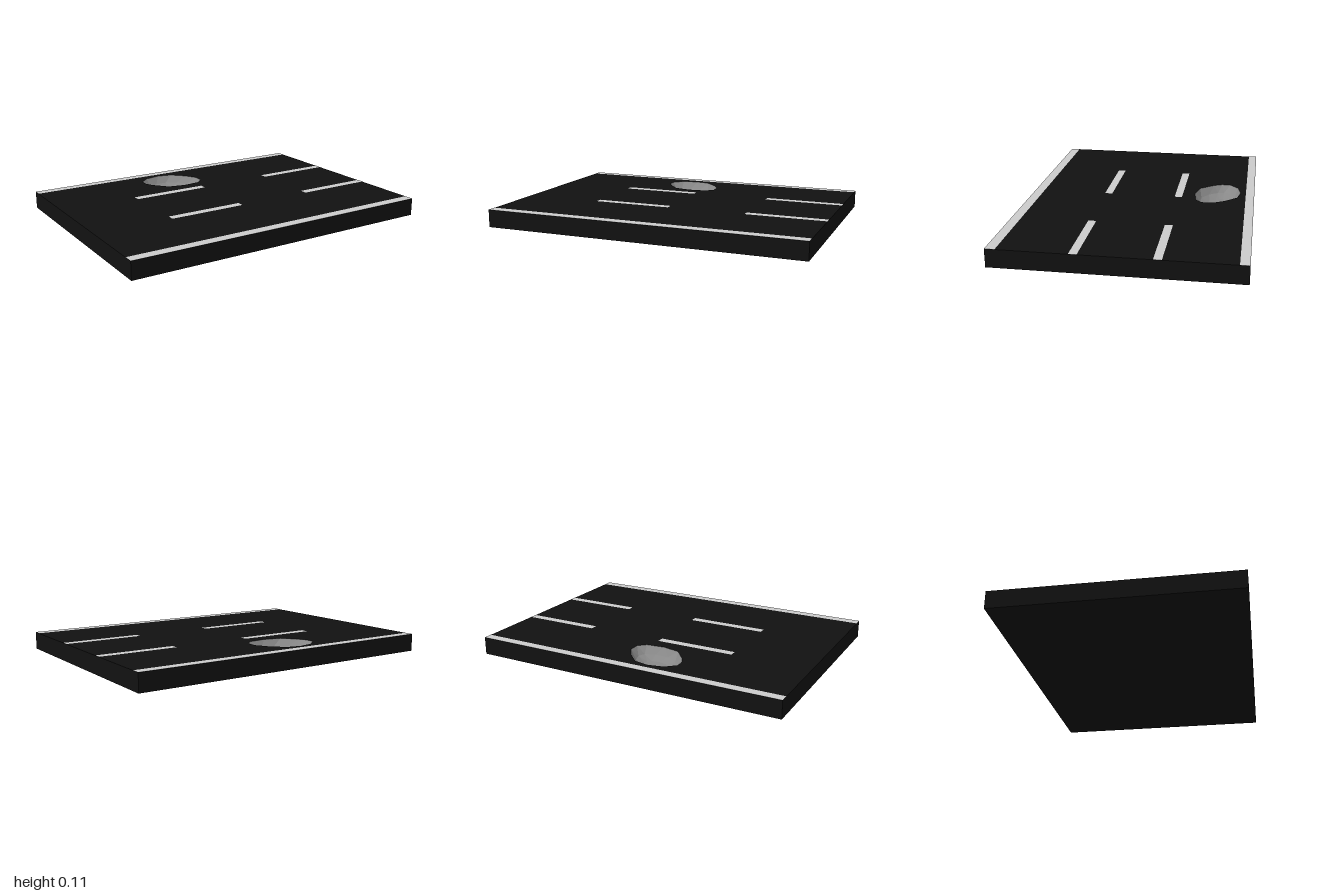
import * as THREE from 'three';

const HALF_X = 1, HALF_Z = 0.72, TOP = 0.11, BASE = 0.02;

// Pothole rim as [x, z], going round the opening
const RIM = [
  [-0.295, -0.555], [-0.235, -0.61], [-0.135, -0.63], [-0.045, -0.61], [0.03, -0.535], [0.075, -0.46],
  [0.075, -0.39], [0.03, -0.347], [-0.085, -0.335], [-0.195, -0.36], [-0.27, -0.45], [-0.295, -0.5],
];
const CENTRE = [-0.107, -0.48];

// Faceted bowl: shrinking copies of the rim stepping down to a floor point
function bowlGeometry() {
  const rings = [[1, 0], [0.8, 0.045], [0.45, 0.068], [0, 0.075]];
  const n = RIM.length, pos = [], index = [];
  rings.forEach(([scale, drop], r) => {
    for (let i = 0; i < n; i++) {
      const a = RIM[i], b = RIM[(i + 1) % n], t = (r % 2) * 0.5;
      const p = [0, 1].map((k) => CENTRE[k] + (a[k] + (b[k] - a[k]) * t - CENTRE[k]) * scale);
      pos.push(p[0], TOP - drop, p[1]);
    }
  });
  for (let r = 0; r < rings.length - 1; r++) {
    for (let i = 0; i < n; i++) {
      const j = (i + 1) % n, a = r * n + i, b = r * n + j, c = a + n, d = b + n;
      // the diagonal follows the half-step shift between rings
      const last = r === rings.length - 2;
      if (last) index.push(a, c, b);
      else if (r % 2 === 0) index.push(a, c, b, b, c, d);
      else index.push(a, c, d, a, d, b);
    }
  }
  const g = new THREE.BufferGeometry();
  g.setAttribute('position', new THREE.Float32BufferAttribute(pos, 3));
  g.setIndex(index);
  const flat = g.toNonIndexed();
  flat.computeVertexNormals();
  return flat;
}

export function createModel() {
  const model = new THREE.Group();
  const asphalt = new THREE.MeshStandardMaterial({ color: 0x111111 });
  const paint = new THREE.MeshStandardMaterial({ color: 0xcccccc });
  const stone = new THREE.MeshStandardMaterial({ color: 0x888888, flatShading: true, side: THREE.DoubleSide });

  const add = (name, geometry, material) => {
    const mesh = new THREE.Mesh(geometry, material);
    mesh.name = name;
    model.add(mesh);
    return mesh;
  };

  // Closed layer under the road
  add('roadBase', new THREE.BoxGeometry(HALF_X * 2, BASE, HALF_Z * 2), asphalt).position.y = BASE / 2;

  // Road slab with the pothole opening (shape y becomes -z)
  const slab = new THREE.Shape([
    new THREE.Vector2(-HALF_X, -HALF_Z), new THREE.Vector2(HALF_X, -HALF_Z),
    new THREE.Vector2(HALF_X, HALF_Z), new THREE.Vector2(-HALF_X, HALF_Z),
  ]);
  slab.holes.push(new THREE.Path(RIM.map(([x, z]) => new THREE.Vector2(x, -z))));
  const slabGeometry = new THREE.ExtrudeGeometry(slab, { depth: TOP - BASE, bevelEnabled: false });
  slabGeometry.rotateX(-Math.PI / 2).translate(0, BASE, 0);
  add('roadSlab', slabGeometry, asphalt);

  add('pothole', bowlGeometry(), stone);

  // Painted markings lie flat on the road
  const stripe = (name, x0, x1, z0, z1) => {
    const g = new THREE.PlaneGeometry(x1 - x0, z1 - z0).rotateX(-Math.PI / 2);
    add(name, g, paint).position.set((x0 + x1) / 2, TOP + 0.001, (z0 + z1) / 2);
  };
  stripe('backEdgeLine', -1, 1, -0.72, -0.665);
  stripe('frontEdgeLine', -1, 1, 0.66, 0.72);
  for (const x of [-0.5, 0.5]) {
    stripe('backLaneDash', x, x + 0.5, -0.257, -0.209);
    stripe('frontLaneDash', x, x + 0.5, 0.203, 0.251);
  }
  return model;
}
